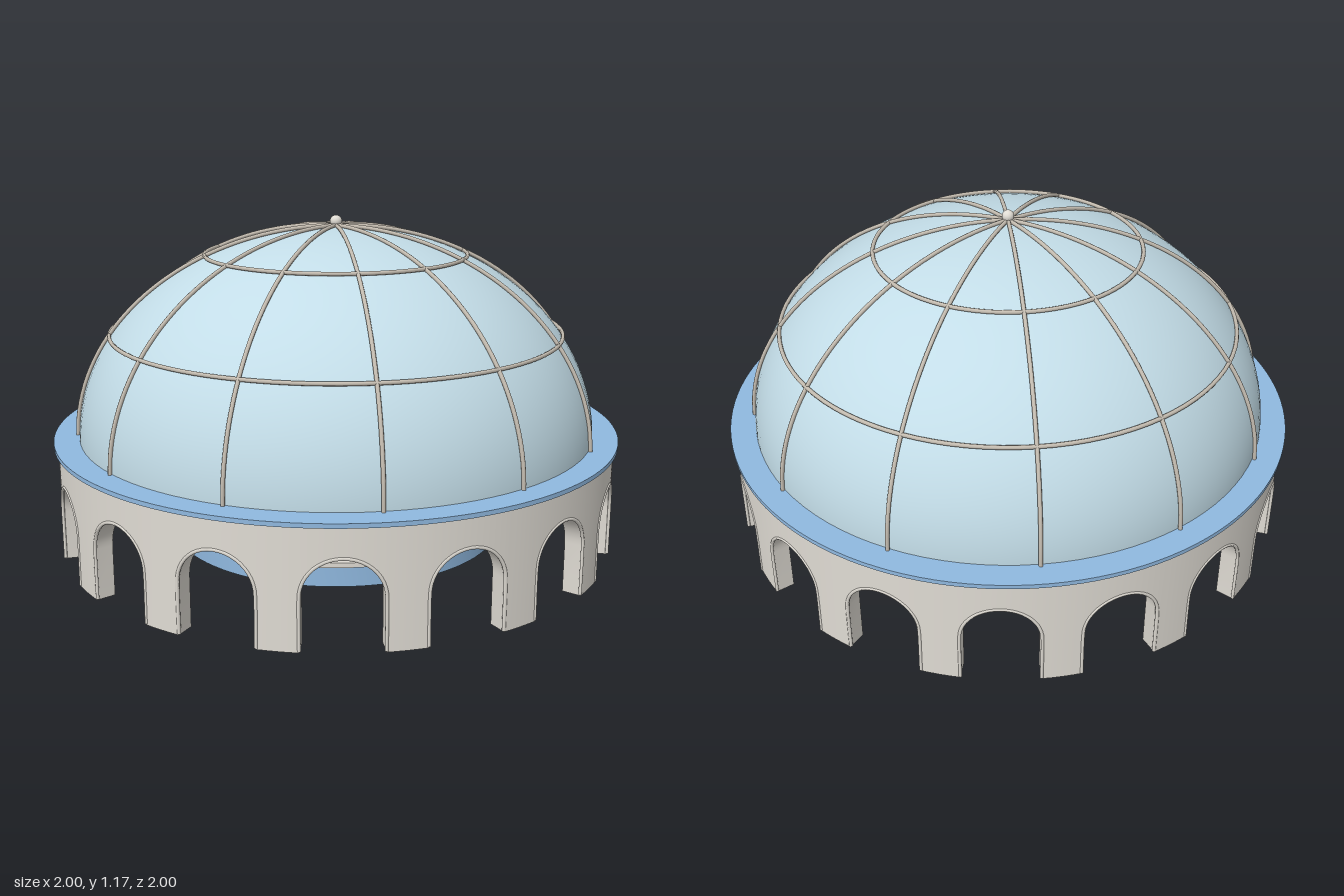
import * as THREE from 'three';
import { toCreasedNormals } from 'three/addons/utils/BufferGeometryUtils.js';

const BAYS = 16, R_OUT = 0.985, R_IN = 0.92, WALL_TOP = 0.399;
const HALF = Math.PI / 24, SPRING = 0.172, ARCH_H = 0.126;
const DOME_R = 0.912, DOME_H = 0.727, DOME_Y = 0.399;
const RIBS = 12, RIB_R = 0.007, RIB_LIFT = 0.0065;

const polar = (r, a, y) => new THREE.Vector3(r * Math.sin(a), y, r * Math.cos(a));

// Arch outline as [angle, height], from left foot over the crown to right foot
function archOutline(steps = 20) {
  const pts = [[-HALF, 0]];
  for (let i = 0; i <= steps; i++) {
    const t = Math.PI * (1 - i / steps);
    pts.push([HALF * Math.cos(t), SPRING + ARCH_H * Math.sin(t)]);
  }
  pts.push([HALF, 0]);
  return pts;
}

// Curved wall whose lower edge follows the arches
function arcadeGeometry() {
  const pos = [];
  const quad = (a, b, c, d) => {
    for (const p of [a, b, c, a, c, d]) pos.push(p.x, p.y, p.z);
  };
  const half = Math.PI / BAYS;
  const mid = (half + HALF) / 2;
  const edge = [[-half, 0], [-mid, 0], ...archOutline(), [mid, 0], [half, 0]];
  for (let b = 0; b < BAYS; b++) {
    const a = b * 2 * half;
    for (let i = 0; i < edge.length - 1; i++) {
      const [u0, y0] = edge[i], [u1, y1] = edge[i + 1];
      const at = (r, u, y) => polar(r, a + u, y);
      // underside, jambs and soffit
      quad(at(R_OUT, u0, y0), at(R_IN, u0, y0), at(R_IN, u1, y1), at(R_OUT, u1, y1));
      if (Math.abs(u1 - u0) < 1e-6) continue;
      quad(at(R_OUT, u0, y0), at(R_OUT, u1, y1), at(R_OUT, u1, WALL_TOP), at(R_OUT, u0, WALL_TOP));
      quad(at(R_IN, u1, y1), at(R_IN, u0, y0), at(R_IN, u0, WALL_TOP), at(R_IN, u1, WALL_TOP));
    }
  }
  const geo = new THREE.BufferGeometry();
  geo.setAttribute('position', new THREE.Float32BufferAttribute(pos, 3));
  return toCreasedNormals(geo, Math.PI / 6);
}

// Sharp-edged lathe from [radius, height] pairs listed bottom to top
function turned(points, segments = 64) {
  const geo = new THREE.LatheGeometry(points.map(([r, y]) => new THREE.Vector2(r, y)), segments);
  return toCreasedNormals(geo, Math.PI / 6);
}

// Closed ring with a rectangular section
const ring = (inner, outer, y0, y1, segments = 96) =>
  turned([[inner, y0], [outer, y0], [outer, y1], [inner, y1], [inner, y0]], segments);

export function createModel() {
  const material = (name, color, side = THREE.FrontSide) => {
    const m = new THREE.MeshStandardMaterial({ color, side });
    m.name = name;
    return m;
  };
  const stone = material('stone', 0xe0dcd4);
  const blue = material('blue trim', 0x90b9e0);
  const glass = material('pale blue dome', 0xc4dee9, THREE.DoubleSide);
  const metal = material('rib metal', 0xc4bcb0);

  const model = new THREE.Group();
  model.name = 'domedPavilion';
  const add = (name, geo, mat, parent = model) => {
    const mesh = new THREE.Mesh(geo, mat);
    mesh.name = name;
    parent.add(mesh);
    return mesh;
  };
  const group = (name) => {
    const g = new THREE.Group();
    g.name = name;
    model.add(g);
    return g;
  };

  // Arcade with a slim moulding around each opening
  add('arcadeWall', arcadeGeometry(), stone);
  const mouldings = group('archMouldings');
  const path = new THREE.CatmullRomCurve3(
    archOutline(16).map(([u, y]) => polar(R_OUT - 0.002, u, Math.max(y, 0.004))), false, 'centripetal');
  const mouldingGeo = new THREE.TubeGeometry(path, 40, 0.006, 6);
  for (let i = 0; i < BAYS; i++) {
    add('archMoulding', mouldingGeo, stone, mouldings).rotation.y = i * 2 * Math.PI / BAYS;
  }

  // Cornice between arcade and dome
  add('cornice', ring(0.905, 1.0, 0.396, 0.411, 128), blue);

  // Dome shell
  const domeGeo = new THREE.SphereGeometry(1, 96, 32, 0, Math.PI * 2, 0, Math.PI / 2);
  domeGeo.scale(DOME_R, DOME_H, DOME_R);
  add('dome', domeGeo, glass).position.y = DOME_Y;

  // Meridian ribs and hoops, resting on the outside of the shell
  const ribs = group('domeRibs');
  const ribRadius = (t) => (DOME_R + RIB_LIFT) * Math.cos(t);
  const ribHeight = (t) => DOME_Y + (DOME_H + RIB_LIFT) * Math.sin(t);
  const ribPath = new THREE.CatmullRomCurve3(Array.from({ length: 17 }, (_, i) => {
    const t = i / 16 * Math.PI / 2;
    return polar(ribRadius(t), 0, ribHeight(t));
  }));
  const ribGeo = new THREE.TubeGeometry(ribPath, 40, RIB_R, 8);
  for (let i = 0; i < RIBS; i++) {
    add('meridianRib', ribGeo, metal, ribs).rotation.y = i * 2 * Math.PI / RIBS;
  }
  for (const t of [Math.PI / 6, Math.PI / 3]) {
    const hoop = add('domeHoop', new THREE.TorusGeometry(ribRadius(t), RIB_R, 8, 96), metal, ribs);
    hoop.rotation.x = Math.PI / 2;
    hoop.position.y = ribHeight(t);
  }
  add('finial', new THREE.SphereGeometry(0.021, 20, 14), stone).position.y = 1.146;

  // Ring bench around the centre
  add('benchBody', ring(0.355, 0.59, 0.035, 0.105), blue);
  add('benchCap', ring(0.345, 0.602, 0.105, 0.122), stone);

  // Central column with paired blue bands near foot and head
  const column = group('centralColumn');
  add('columnShaft', turned([
    [0, 0], [0.125, 0], [0.135, 0.01], [0.135, 0.03], [0.115, 0.045], [0.1, 0.06],
    [0.1, 0.7], [0.115, 0.72], [0.13, 0.735], [0.13, 0.76], [0, 0.76],
  ], 48), stone, column);
  for (const [y, h] of [[0.125, 0.014], [0.157, 0.026], [0.605, 0.02], [0.665, 0.032]]) {
    add('columnBand', ring(0.09, 0.11, y, y + h, 48), blue, column);
  }
  return model;
}
